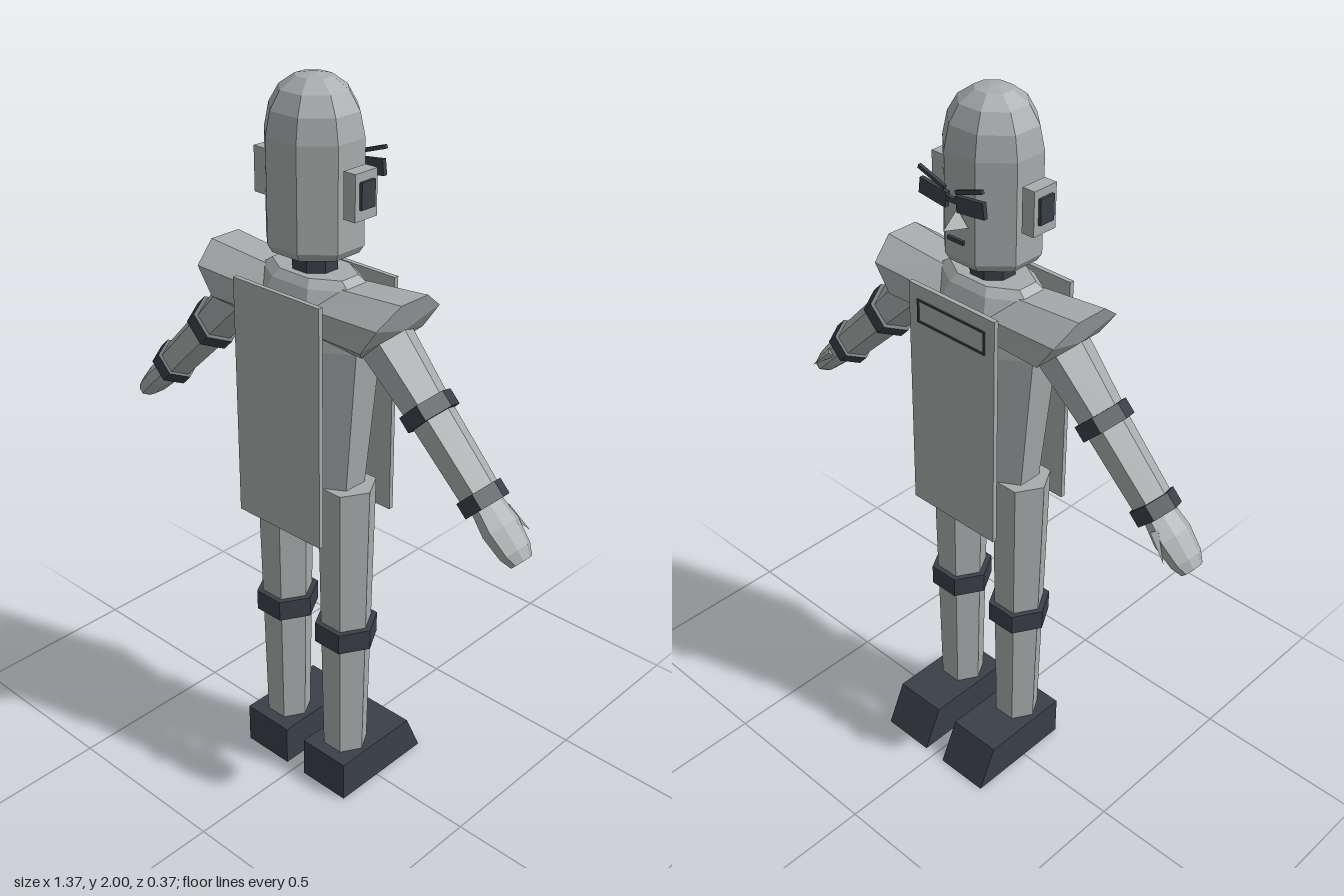
import * as THREE from 'three';

const light = new THREE.MeshStandardMaterial({ color: 0xa8acac });
light.name = 'light grey';
const dark = new THREE.MeshStandardMaterial({ color: 0x3a4047 });
dark.name = 'charcoal';

const CZ = 0.05; // depth of the body axis

// Faceted normals
function flat(geometry) {
  const g = geometry.index ? geometry.toNonIndexed() : geometry;
  g.computeVertexNormals();
  return g;
}

function add(parent, name, geometry, material, x = 0, y = 0, z = 0, rz = 0) {
  const mesh = new THREE.Mesh(geometry, material);
  mesh.name = name;
  mesh.position.set(x, y, z);
  mesh.rotation.z = rz;
  parent.add(mesh);
  return mesh;
}

// Closed faceted column; profile is [radius, y] from bottom to top
function column(profile, sides, sx = 1, sz = 1) {
  const pts = [[0, profile[0][1]], ...profile, [0, profile[profile.length - 1][1]]]
    .map(([r, y]) => new THREE.Vector2(r, y));
  const start = sides === 8 ? Math.PI / 8 : Math.PI / 2;
  const k = sides === 8 ? 1 / Math.cos(Math.PI / 8) : 1; // octagon radius measured to its flats
  const g = new THREE.LatheGeometry(pts, sides, start);
  g.scale(sx * k, 1, sz * k);
  return flat(g);
}

const box = (w, h, d) => new THREE.BoxGeometry(w, h, d);

// Flared shoulder pad, running along +x with a slanted outer end
function shoulderPad() {
  const g = column([[0.075, 0.08], [0.085, 0.29]], 8, 1, 1.33);
  g.rotateZ(-Math.PI / 2);
  const p = g.attributes.position;
  for (let i = 0; i < p.count; i++) {
    if (p.getX(i) < 0.2) continue;
    const v = p.getY(i);
    p.setX(i, 0.29 + v * (v > 0 ? 0.35 : 1.05));
    p.setY(i, v + 0.01);
  }
  return flat(g);
}

function createArm(side) {
  const turn = new THREE.Group();
  turn.name = side > 0 ? 'leftArm' : 'rightArm';
  turn.position.z = CZ;
  turn.rotation.y = side > 0 ? 0 : Math.PI;
  add(turn, 'shoulderPad', shoulderPad(), light, 0, 1.435, 0);

  const arm = new THREE.Group();
  arm.name = 'limb';
  arm.position.set(0.22, 1.42, 0);
  arm.rotation.z = Math.PI / 4;
  turn.add(arm);
  add(arm, 'upperArm', column([[0.059, -0.22], [0.074, 0.02]], 6), light);
  add(arm, 'elbowBand', column([[0.072, -0.24], [0.072, -0.198]], 6), dark);
  add(arm, 'forearm', column([[0.052, -0.46], [0.058, -0.22]], 6), light);
  add(arm, 'wristBand', column([[0.062, -0.482], [0.062, -0.44]], 6), dark);
  add(arm, 'hand', column([[0.6, -0.634], [0.85, -0.605], [1, -0.54], [0.8, -0.46]], 8, 0.034, 0.054), light);
  const thumb = add(arm, 'thumb', flat(new THREE.ConeGeometry(0.014, 0.08, 4)), light, 0.005, -0.545, -0.06 * side);
  thumb.rotation.x = Math.PI + 0.35 * side;
  return turn;
}

function createLeg(side) {
  const leg = new THREE.Group();
  leg.name = side > 0 ? 'leftLeg' : 'rightLeg';
  leg.position.set(0.112 * side, 0, CZ);
  add(leg, 'legColumn', column([[0.063, 0.1], [0.079, 0.965]], 6), light);
  add(leg, 'kneeBand', column([[0.088, 0.48], [0.088, 0.54]], 6), dark);

  // Foot: side profile with a sloping toe, extruded across its width
  const profile = new THREE.Shape([[-0.14, 0], [0.185, 0], [0.13, 0.12], [-0.14, 0.12]]
    .map(([a, b]) => new THREE.Vector2(a, b)));
  const foot = new THREE.ExtrudeGeometry(profile, { depth: 0.156, bevelEnabled: false });
  foot.translate(0, 0, -0.078);
  foot.rotateY(Math.PI / 2);
  add(leg, 'foot', foot, dark, 0, 0, -CZ);
  return leg;
}

function createHead() {
  const head = new THREE.Group();
  head.name = 'head';
  add(head, 'neck', column([[0.057, 1.5], [0.057, 1.6]], 8, 1, 0.92), dark, 0, 0, CZ);
  add(head, 'skull', column([[0.108, 1.58], [0.12, 1.6], [0.12, 1.86], [0.108, 1.92], [0.083, 1.965], [0.045, 1.993], [0.01, 2]],
    8, 1, 0.92), light, 0, 0, CZ);

  for (const s of [1, -1]) {
    add(head, 'ear', box(0.037, 0.115, 0.075), light, s * 0.147, 1.745, CZ);
    add(head, 'earInset', box(0.009, 0.066, 0.046), dark, s * 0.169, 1.748, CZ);
    add(head, 'lens', box(0.088, 0.04, 0.012), dark, s * 0.06, 1.762, -0.083, s * 0.12);
    add(head, 'eyebrow', box(0.088, 0.01, 0.009), dark, s * 0.06, 1.802, -0.089, s * 0.32);
  }
  add(head, 'bridge', box(0.04, 0.012, 0.01), dark, 0, 1.762, -0.083);

  // Wedge nose with its point towards the face front
  const nose = new THREE.ConeGeometry(0.035, 0.042, 3);
  nose.rotateY(Math.PI);
  const p = nose.attributes.position;
  for (let i = 0; i < p.count; i++) if (p.getY(i) > 0) p.setZ(i, 0.012);
  add(head, 'nose', flat(nose), light, 0, 1.713, -0.08);
  add(head, 'mouth', box(0.052, 0.01, 0.008), dark, 0, 1.655, -0.073);
  return head;
}

function createBoards() {
  const boards = new THREE.Group();
  boards.name = 'boards';
  for (const z of [0.181, -0.087]) add(boards, 'board', box(0.29, 0.66, 0.013), light, 0, 1.17, z);
  // Empty label frame near the top of one board
  const z = -0.095;
  for (const s of [1, -1]) {
    add(boards, 'frameBar', box(0.23, 0.005, 0.004), dark, 0, 1.43 + s * 0.03, z);
    add(boards, 'frameEnd', box(0.005, 0.06, 0.004), dark, s * 0.1125, 1.43, z);
  }
  return boards;
}

export function createModel() {
  const model = new THREE.Group();
  model.name = 'robot';
  add(model, 'torso', column([[0.135, 0.9], [0.18, 1.36], [0.172, 1.47], [0.145, 1.51], [0.118, 1.53]], 8, 1, 0.6),
    light, 0, 0, CZ);
  model.add(createHead(), createBoards());
  for (const side of [1, -1]) model.add(createArm(side), createLeg(side));
  return model;
}
